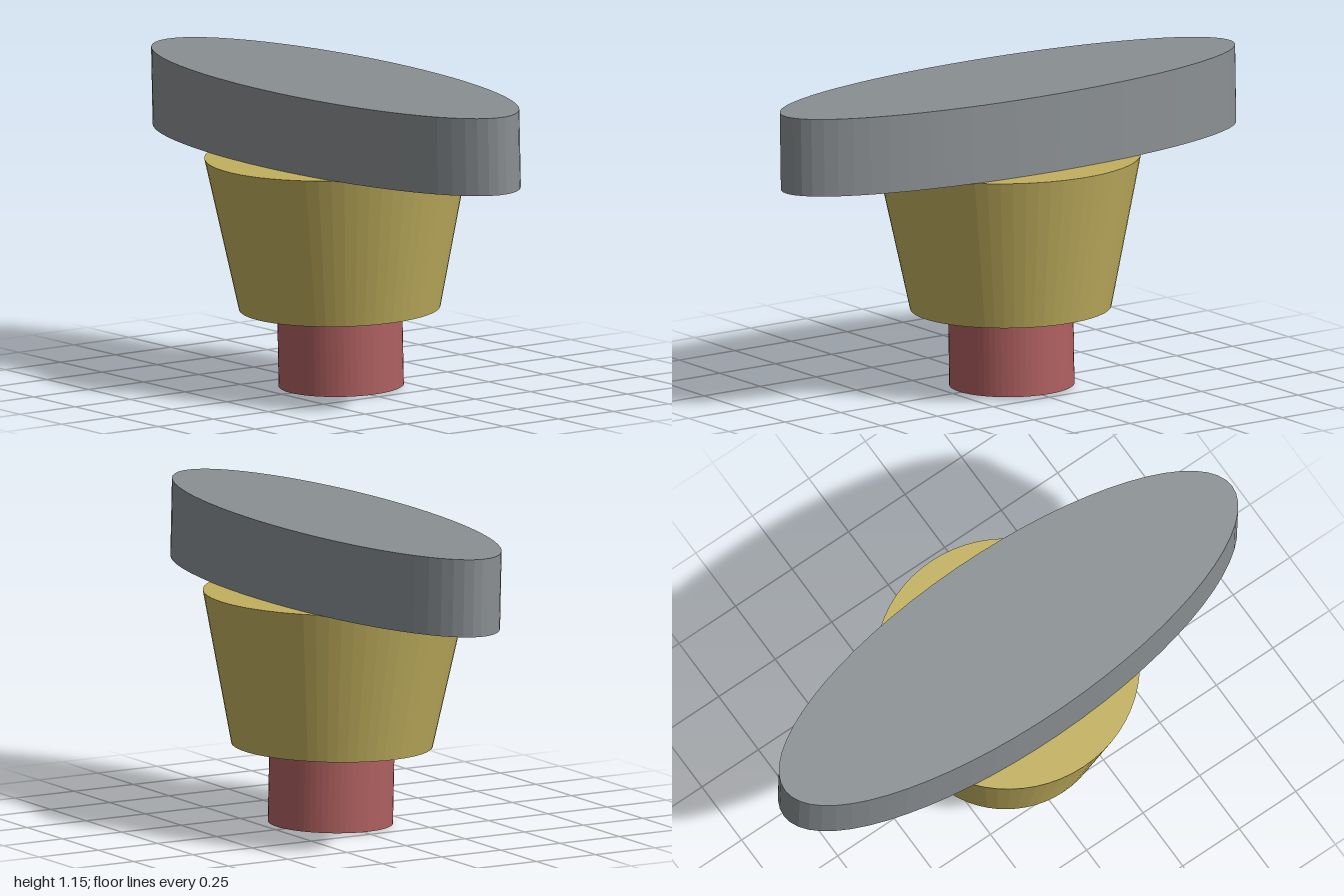
import * as THREE from 'three';

const SIDES = 64;

// Upright round section between two heights, optionally stretched to an ellipse
function section(name, rTop, rBottom, y0, y1, color, sx = 1) {
  const geometry = new THREE.CylinderGeometry(rTop, rBottom, y1 - y0, SIDES);
  geometry.scale(sx, 1, 1);
  geometry.translate(0, (y0 + y1) / 2, 0);
  const material = new THREE.MeshStandardMaterial({ color, flatShading: true });
  const mesh = new THREE.Mesh(geometry, material);
  mesh.name = name;
  return mesh;
}

export function createModel() {
  const model = new THREE.Group();
  model.name = 'model';

  // The whole stack leans very slightly towards -x
  const stack = new THREE.Group();
  stack.name = 'stack';
  stack.position.set(0.019, 0.008, 0);
  stack.rotation.z = 0.024;
  model.add(stack);

  // Narrow foot, flared body and long elliptical top slab
  stack.add(section('foot', 0.227, 0.227, 0, 0.286, 0xb06060));
  stack.add(section('taperedBody', 0.48, 0.365, 0.286, 0.847, 0xc2b05e));
  const slab = section('ellipticalTop', 1, 1, 0.847, 1.133, 0x8a8f92, 0.328);
  slab.rotation.y = 0.015;
  stack.add(slab);

  return model;
}
